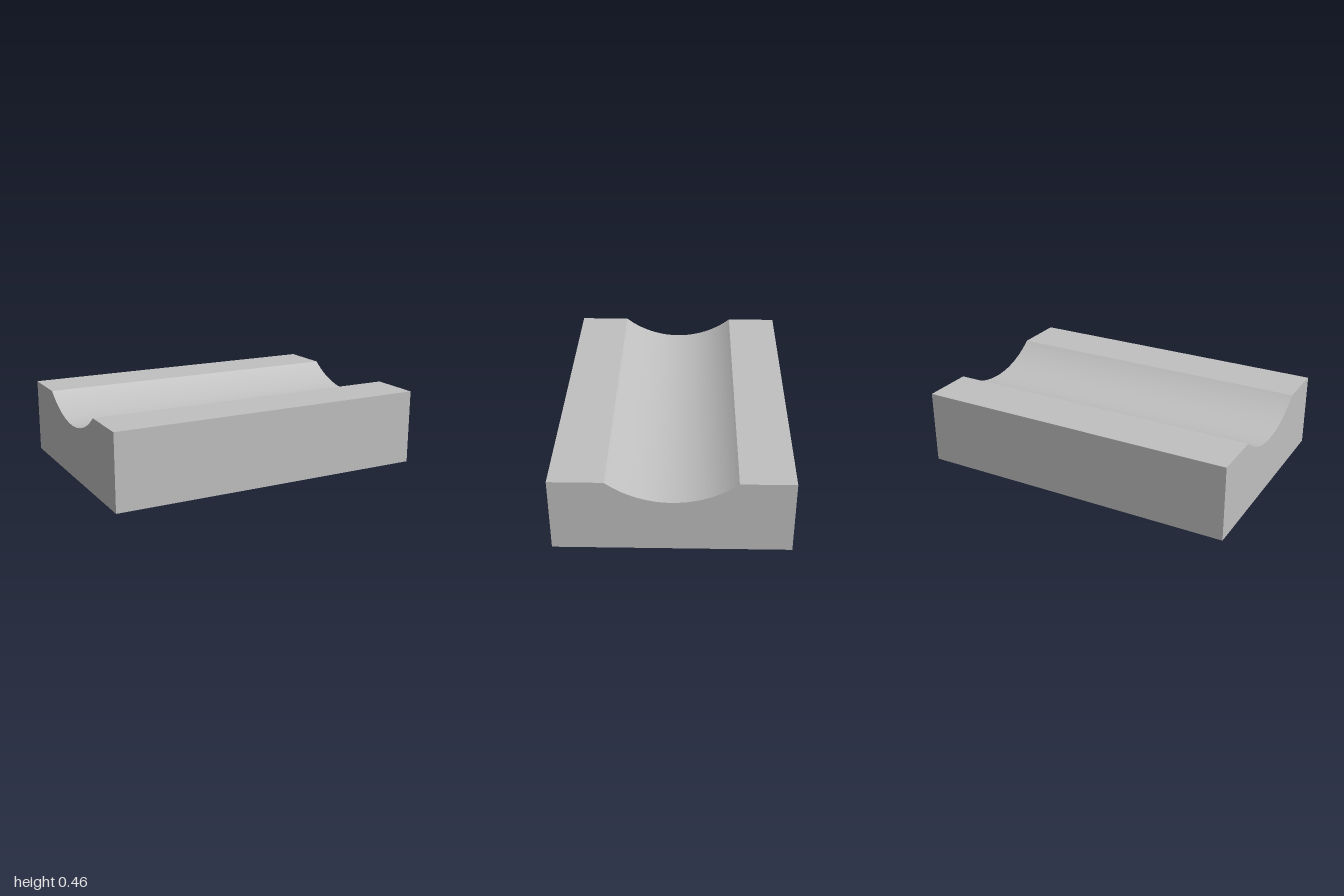
import * as THREE from 'three';
import { toCreasedNormals } from 'three/addons/utils/BufferGeometryUtils.js';

const HALF_X = 1, HALF_Z = 0.69, HEIGHT = 0.463;
const GROOVE_HALF = 0.372, GROOVE_DEPTH = 0.133;
const POCKET_RADIUS = 0.475, POCKET_DEPTH = 0.187;

// Removes the triangles lying on the ground plane, so the pocket can open there
function dropBase(geometry) {
  const p = geometry.attributes.position;
  const kept = [];
  for (let i = 0; i < p.count; i += 3) {
    if (Math.max(p.getY(i), p.getY(i + 1), p.getY(i + 2)) < 1e-5) continue;
    for (let j = i; j < i + 3; j++) kept.push(p.getX(j), p.getY(j), p.getZ(j));
  }
  const result = new THREE.BufferGeometry();
  result.setAttribute('position', new THREE.Float32BufferAttribute(kept, 3));
  return result;
}

export function createModel() {
  const group = new THREE.Group();
  group.name = 'groovedBlock';
  const grey = new THREE.MeshStandardMaterial({ color: 0xc0c0c0 });
  grey.name = 'grey';

  const add = (name, geometry) => {
    const mesh = new THREE.Mesh(toCreasedNormals(geometry, 0.4), grey);
    mesh.name = name;
    group.add(mesh);
  };

  // Block with a round groove along its length
  const radius = (GROOVE_HALF ** 2 + GROOVE_DEPTH ** 2) / (2 * GROOVE_DEPTH);
  const sweep = Math.asin(GROOVE_HALF / radius);
  const profile = new THREE.Shape();
  profile.moveTo(-HALF_Z, 0);
  profile.lineTo(HALF_Z, 0);
  profile.lineTo(HALF_Z, HEIGHT);
  profile.absarc(0, HEIGHT - GROOVE_DEPTH + radius, radius,
    -Math.PI / 2 + sweep, -Math.PI / 2 - sweep, true);
  profile.lineTo(-HALF_Z, HEIGHT);
  profile.closePath();
  const block = new THREE.ExtrudeGeometry(profile, {
    depth: 2 * HALF_X, bevelEnabled: false, curveSegments: 40,
  });
  block.translate(0, 0, -HALF_X).rotateY(Math.PI / 2);
  add('block', dropBase(block));

  // Underside with the round opening
  const base = new THREE.Shape([
    new THREE.Vector2(-HALF_X, -HALF_Z), new THREE.Vector2(HALF_X, -HALF_Z),
    new THREE.Vector2(HALF_X, HALF_Z), new THREE.Vector2(-HALF_X, HALF_Z),
  ]);
  base.holes.push(new THREE.Path().absarc(0, 0, POCKET_RADIUS, 0, Math.PI * 2, true));
  add('underside', new THREE.ShapeGeometry(base, 64).rotateX(Math.PI / 2));

  // Blind pocket: ceiling and inner wall
  add('pocket', new THREE.LatheGeometry([
    new THREE.Vector2(0, POCKET_DEPTH),
    new THREE.Vector2(POCKET_RADIUS, POCKET_DEPTH),
    new THREE.Vector2(POCKET_RADIUS, 0),
  ], 128));

  return group;
}
